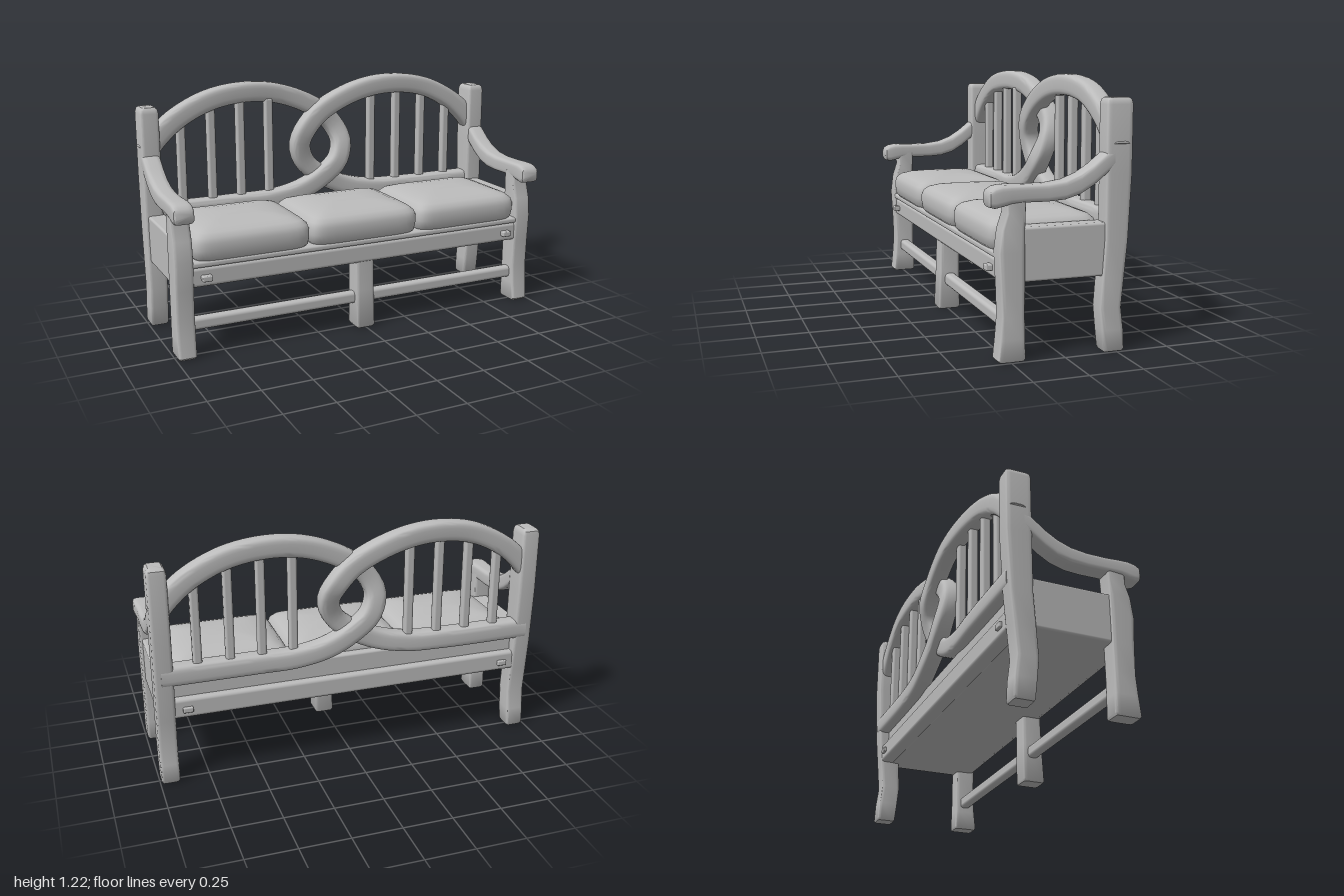
import * as THREE from 'three';
import { toCreasedNormals } from 'three/addons/utils/BufferGeometryUtils.js';
import { RoundedBoxGeometry } from 'three/addons/geometries/RoundedBoxGeometry.js';

const V = (x, y, z) => new THREE.Vector3(x, y, z);
const X = V(1, 0, 0), Y = V(0, 1, 0), Z = V(0, 0, 1);

// Superellipse ring around c, with half sizes a and b along axes u and v
function ring(c, u, v, a, b, power = 6, count = 24) {
  const bend = (t) => Math.sign(t) * Math.abs(t) ** (2 / power);
  return Array.from({ length: count }, (_, i) => {
    const t = ((i + 0.5) / count) * Math.PI * 2;
    return c.clone().addScaledVector(u, a * bend(Math.cos(t))).addScaledVector(v, b * bend(Math.sin(t)));
  });
}

// Closed skin over a list of rings, always facing outwards
function loft(rings, crease = 0.7) {
  const n = rings[0].length;
  const pts = rings.flat();
  const tris = [];
  for (let r = 0; r < rings.length - 1; r++) {
    for (let i = 0; i < n; i++) {
      const a = r * n + i, b = r * n + (i + 1) % n;
      tris.push([a, b, b + n], [a, b + n, a + n]);
    }
  }
  const last = (rings.length - 1) * n;
  for (let i = 1; i < n - 1; i++) tris.push([0, i + 1, i], [last, last + i, last + i + 1]);
  let volume = 0;
  for (const [a, b, c] of tris) volume += pts[a].dot(pts[b].clone().cross(pts[c]));
  if (volume < 0) tris.forEach((t) => t.reverse());
  const geo = new THREE.BufferGeometry().setFromPoints(pts);
  geo.setIndex(tris.flat());
  return toCreasedNormals(geo, crease);
}

// Upright post from rows of [y, back z, front z, half width]
const post = (x, rows) => loft(rows.map(([y, z0, z1, w]) =>
  ring(V(x, y, (z0 + z1) / 2), X, Z, w, (z1 - z0) / 2, 9)));

export function createModel() {
  const model = new THREE.Group();
  const grey = new THREE.MeshStandardMaterial({ color: 0xbcbcbc });
  grey.name = 'plain grey';

  function add(name, geo) {
    const mesh = new THREE.Mesh(geo, grey);
    mesh.name = name;
    model.add(mesh);
    return mesh;
  }
  // Soft-edged block given by its limits
  function block(name, x0, x1, y0, y1, z0, z1, r = 0.012) {
    const geo = new RoundedBoxGeometry(x1 - x0, y1 - y0, z1 - z0, 2, r);
    add(name, geo).position.set((x0 + x1) / 2, (y0 + y1) / 2, (z0 + z1) / 2);
  }

  // Posts, arms and side panels
  const rearRows = [
    [0, -0.285, -0.195, 0.04], [0.01, -0.29, -0.19, 0.046], [0.1, -0.285, -0.18, 0.047],
    [0.2, -0.272, -0.17, 0.047], [0.34, -0.285, -0.18, 0.047], [0.5, -0.3, -0.19, 0.047],
    [0.8, -0.315, -0.19, 0.047], [1.1, -0.315, -0.19, 0.047], [1.12, -0.312, -0.194, 0.042],
    [1.13, -0.3, -0.205, 0.032],
  ];
  const frontRows = [
    [0, 0.185, 0.3, 0.04], [0.01, 0.18, 0.308, 0.046], [0.1, 0.183, 0.298, 0.047],
    [0.2, 0.185, 0.29, 0.047], [0.34, 0.185, 0.295, 0.047], [0.48, 0.185, 0.303, 0.047],
    [0.58, 0.185, 0.29, 0.047], [0.65, 0.183, 0.267, 0.046], [0.72, 0.18, 0.27, 0.045],
  ];
  // Arm rows: [z, y, half height, half width]
  const armRows = [
    [0.35, 0.712, 0.02, 0.04], [0.343, 0.714, 0.036, 0.048], [0.32, 0.718, 0.046, 0.05],
    [0.29, 0.724, 0.046, 0.05], [0.25, 0.729, 0.041, 0.05], [0.18, 0.73, 0.038, 0.046],
    [0.08, 0.73, 0.039, 0.046], [0, 0.738, 0.042, 0.046], [-0.07, 0.761, 0.045, 0.046],
    [-0.13, 0.797, 0.046, 0.046], [-0.19, 0.844, 0.047, 0.046], [-0.23, 0.87, 0.045, 0.044],
  ];
  for (const s of [-1, 1]) {
    const side = s > 0 ? 'left' : 'right';
    const span = (a, b) => (s > 0 ? [a, b] : [-b, -a]);
    add(side + 'RearPost', post(s * 0.947, rearRows));
    add(side + 'FrontLeg', post(s * 0.947, frontRows));
    add(side + 'Arm', loft(armRows.map(([z, y, h, w]) => ring(V(s * 0.95, y, z), X, Y, w, h, 5))));
    block(side + 'SidePanel', ...span(0.89, 0.98), 0.345, 0.585, -0.21, 0.21);
    block(side + 'Stretcher', ...span(0.03, 0.92), 0.125, 0.187, 0.21, 0.265, 0.018);
    block(side + 'FrontPeg', ...span(0.815, 0.865), 0.38, 0.408, 0.26, 0.32, 0.006);
    block(side + 'RearPeg', ...span(0.815, 0.865), 0.38, 0.408, -0.3, -0.26, 0.006);
  }

  // Centre leg, seat frame and rails
  add('centreLeg', post(0, [
    [0, 0.19, 0.295, 0.045], [0.01, 0.185, 0.3, 0.051], [0.2, 0.185, 0.29, 0.05], [0.37, 0.185, 0.285, 0.05],
  ]));
  block('seatBase', -0.92, 0.92, 0.345, 0.47, -0.22, 0.27, 0.008);
  block('frontRail', -0.92, 0.92, 0.347, 0.445, 0.2, 0.29, 0.018);
  block('seatLip', -0.91, 0.91, 0.445, 0.475, 0.18, 0.3);
  block('rearRail', -0.92, 0.92, 0.347, 0.45, -0.285, -0.2, 0.018);
  block('rearFiller', -0.91, 0.91, 0.44, 0.55, -0.25, -0.2, 0.012);

  // Three domed cushions: rows of [y, inset]
  const cushionRows = [
    [0.47, 0.02], [0.485, 0.006], [0.525, 0], [0.56, 0], [0.585, 0.008],
    [0.605, 0.03], [0.62, 0.075], [0.63, 0.14], [0.635, 0.22],
  ];
  for (const [i, name] of ['rightCushion', 'middleCushion', 'leftCushion'].entries()) {
    add(name, loft(cushionRows.map(([y, inset]) =>
      ring(V((i - 1) * 0.598, y, 0.05), X, Z, 0.302 - inset, 0.262 - inset, 9, 40)), 1));
  }

  // Interlocked backrest loops, swept with a soft square section
  const loopPath = [
    [-0.96, 0.9], [-0.9, 0.97], [-0.8, 1.055], [-0.62, 1.14], [-0.4, 1.167], [-0.2, 1.137],
    [0, 1.045], [0.09, 0.955], [0.122, 0.87], [0.09, 0.77], [0, 0.69], [-0.12, 0.627],
    [-0.28, 0.588], [-0.5, 0.58], [-0.96, 0.58],
  ];
  function loop(name, s, top, bottom) {
    const mid = (top + bottom) / 2;
    const depth = [-0.26, -0.26, -0.262, -0.265, (top - 0.265) / 2, top, top, top, mid,
      bottom, bottom, bottom, (bottom - 0.26) / 2, -0.26, -0.26];
    const curve = new THREE.CatmullRomCurve3(loopPath.map(([x, y], i) => V(s * x, y, depth[i])));
    const rings = [];
    for (let i = 0; i <= 72; i++) {
      const t = curve.getPointAt(i / 72), d = curve.getTangentAt(i / 72);
      rings.push(ring(t, V(-d.y, d.x, 0).normalize(), Z, 0.052, 0.047, 4));
    }
    add(name, loft(rings, 1));
  }
  loop('rightBackLoop', 1, -0.297, -0.24);
  loop('leftBackLoop', -1, -0.25, -0.28);

  // Upright back slats
  for (const s of [-1, 1]) {
    for (const [x, top] of [[0.302, 1.13], [0.46, 1.14], [0.618, 1.12], [0.778, 1.05]]) {
      block('backSlat', s * x - 0.022, s * x + 0.022, 0.58, top, -0.285, -0.24, 0.012);
    }
  }
  return model;
}
